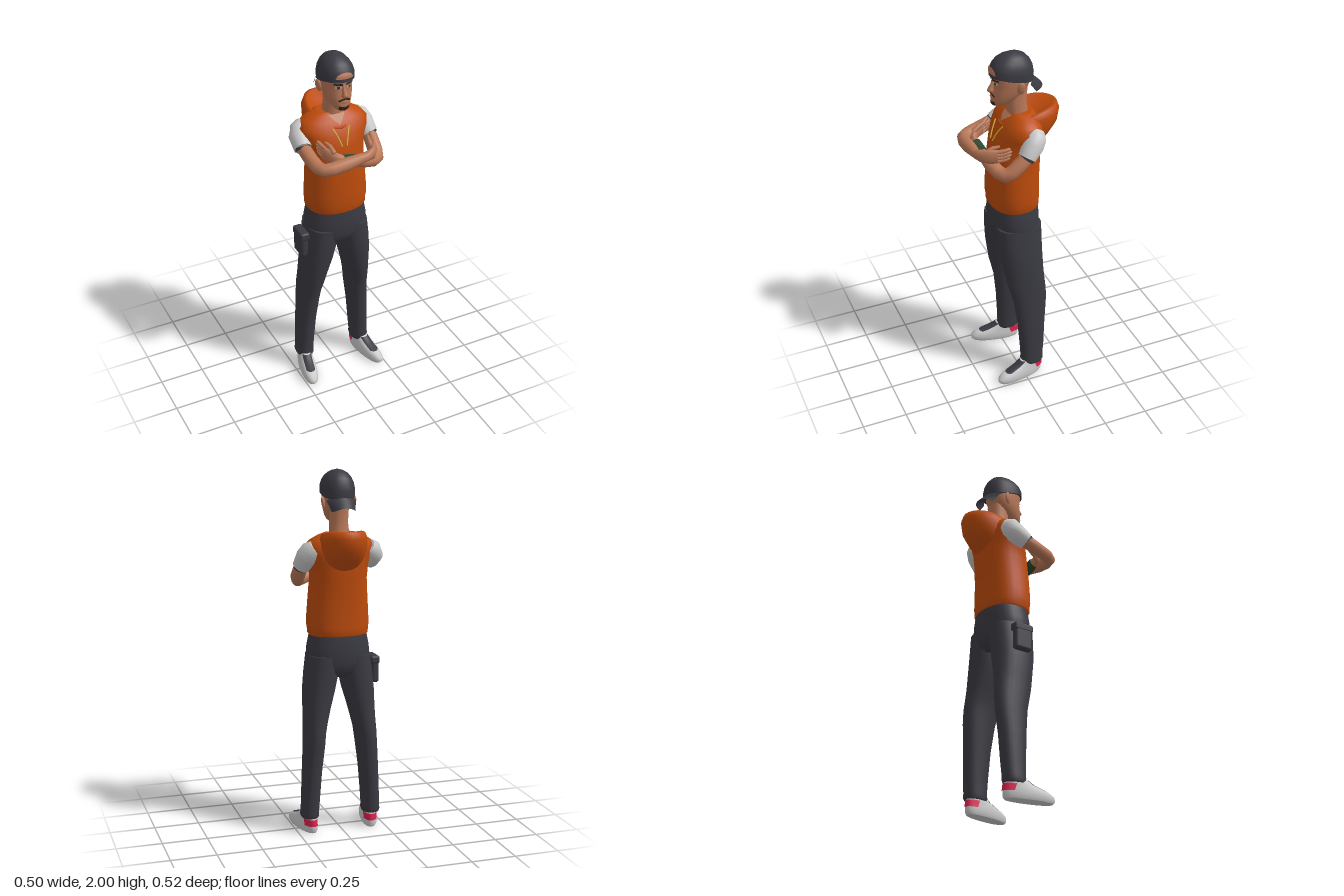
import * as THREE from 'three';
import { RoundedBoxGeometry } from 'three/addons/geometries/RoundedBoxGeometry.js';

const V = (x, y, z) => new THREE.Vector3(x, y, z);
const mat = (name, color) => Object.assign(new THREE.MeshStandardMaterial({ color }), { name });
const P = 2.3; // squareness of the horizontal cross-sections
const spow = (s) => Math.sign(s) * Math.abs(s) ** (2 / P);

// Skin a list of closed rings, with optional flat ends
function skin(rings, caps = true) {
  const n = rings[0].length, pos = [], idx = [];
  const add = (p) => pos.push(p.x, p.y, p.z) / 3 - 1;
  rings.forEach((r) => r.forEach(add));
  for (let i = 0; i < rings.length - 1; i++) for (let j = 0; j < n; j++) {
    const a = i * n + j, b = i * n + (j + 1) % n;
    idx.push(a, b, a + n, b, b + n, a + n);
  }
  if (caps) [rings[0], rings.at(-1)].forEach((r, end) => {
    const c = add(r.reduce((s, p) => s.add(p), V(0, 0, 0)).divideScalar(n));
    const first = c + 1;
    r.forEach(add);
    for (let j = 0; j < n; j++) {
      const a = first + j, b = first + (j + 1) % n;
      end ? idx.push(c, a, b) : idx.push(c, b, a);
    }
  });
  const g = new THREE.BufferGeometry();
  g.setAttribute('position', new THREE.Float32BufferAttribute(pos, 3));
  g.setIndex(idx);
  g.computeVertexNormals();
  return g;
}

// Horizontal sections [y, halfWidth, zFront, zBack, centreX], listed upwards
function stack(sections, n = 28, warp = (p) => p) {
  return skin(sections.map(([y, w, f, b, cx = 0]) => Array.from({ length: n }, (_, j) => {
    const a = j / n * Math.PI * 2;
    return warp(V(cx + w * spow(Math.sin(a)), y, (f + b) / 2 + (f - b) / 2 * spow(Math.cos(a))));
  })));
}

// z of a stacked surface at (x, y), on the front (side 1) or back (side -1)
function surfaceZ(sections, x, y, side = 1) {
  let i = 0;
  while (i < sections.length - 2 && sections[i + 1][0] < y) i++;
  const A = sections[i], B = sections[i + 1];
  const t = THREE.MathUtils.clamp((y - A[0]) / (B[0] - A[0]), 0, 1);
  const [w, f, b] = [1, 2, 3].map((k) => A[k] + (B[k] - A[k]) * t);
  const k = Math.max(0, 1 - Math.abs(x / w) ** P) ** (1 / P);
  return (f + b) / 2 + side * (f - b) / 2 * k;
}

// Thin painted patch lying on a stacked surface
function decal(sections, x0, x1, low, high, side = 1, lift = 0.004) {
  const g = new THREE.PlaneGeometry(1, 1, 12, 6), p = g.attributes.position;
  for (let i = 0; i < p.count; i++) {
    const x = x0 + (x1 - x0) * (p.getX(i) + 0.5);
    const y = low(x) + (high(x) - low(x)) * (p.getY(i) + 0.5);
    p.setXYZ(i, side * x, y, surfaceZ(sections, x, y, side) + side * lift);
  }
  g.computeVertexNormals();
  return g;
}

// Limb through points [x, y, z, sidewaysRadius, verticalRadius]
function limb(pts, n = 14) {
  const c = pts.map((p) => V(p[0], p[1], p[2]));
  return skin(c.map((p, i) => {
    const t = c[Math.min(i + 1, c.length - 1)].clone().sub(c[Math.max(i - 1, 0)]).normalize();
    const s = t.clone().cross(V(0, 1, 0)).normalize(), u = t.clone().cross(s);
    const r1 = pts[i][3], r2 = pts[i][4] ?? r1;
    return Array.from({ length: n }, (_, j) => {
      const a = j / n * Math.PI * 2;
      return p.clone().addScaledVector(s, r1 * Math.cos(a)).addScaledVector(u, r2 * Math.sin(a));
    });
  }));
}

export function createModel() {
  const model = new THREE.Group();
  const orange = mat('orange cloth', 0xbd4b0c), dark = mat('charcoal cloth', 0x3a3a42);
  const grey = mat('light grey', 0xcacaca), flesh = mat('skin', 0xb97858);
  const hair = mat('dark hair', 0x33261f), yellow = mat('yellow cord', 0xd9b32a);
  const pink = mat('pink heel', 0xe0214f), green = mat('green band', 0x2d452b);
  dark.side = orange.side = THREE.DoubleSide;
  const put = (name, geo, material, parent = model) => {
    const m = new THREE.Mesh(geo, material);
    m.name = name;
    parent.add(m);
    return m;
  };

  // Sleeveless hooded top
  const torso = [[1.108, 0.158, 0.125, -0.128], [1.118, 0.167, 0.134, -0.137], [1.15, 0.168, 0.134, -0.137],
    [1.165, 0.172, 0.137, -0.138], [1.22, 0.17, 0.136, -0.136], [1.32, 0.163, 0.132, -0.139],
    [1.42, 0.156, 0.125, -0.145], [1.5, 0.162, 0.112, -0.15], [1.56, 0.188, 0.09, -0.148],
    [1.6, 0.195, 0.068, -0.14], [1.63, 0.168, 0.047, -0.13], [1.655, 0.125, 0.022, -0.115], [1.668, 0.085, 0.01, -0.1]];
  put('torso', stack(torso, 32), orange);
  put('neckOpening', decal(torso, -0.045, 0.045, (x) => 1.612 + Math.abs(x), () => 1.66), flesh);

  // Hood lying on the back: low at the front, raised behind
  const hood = [[0.1, 0.05, -0.145, 1.57, 1.47], [0.118, 0.068, -0.205, 1.585, 1.525], [0.128, 0.072, -0.25, 1.595, 1.585],
    [0.128, 0.072, -0.262, 1.602, 1.65], [0.115, 0.066, -0.25, 1.61, 1.685], [0.1, 0.06, -0.228, 1.607, 1.69],
    [0.088, 0.052, -0.18, 1.6, 1.655], [0.06, 0.035, -0.1, 1.59, 1.63]];
  put('hood', skin(hood.map(([w, f, b, yf, yb]) => Array.from({ length: 28 }, (_, j) => {
    const a = j / 28 * Math.PI * 2, c = Math.cos(a);
    return V(w * Math.sin(a), yb + (yf - yb) * ((1 + c) / 2) ** 2, (f + b) / 2 + (f - b) / 2 * c);
  })), false), orange);
  for (const s of [-1, 1]) {
    put('drawstring', limb([[0.047, 1.605], [0.035, 1.58], [0.024, 1.55], [0.014, 1.515]].map(([x, y]) =>
      [s * x, y, surfaceZ(torso, x, y) + 0.009, 0.004]), 6), yellow);
  }

  // Trousers
  put('hips', stack([[0.88, 0.1, 0.06, -0.09], [0.91, 0.155, 0.108, -0.12], [0.96, 0.178, 0.124, -0.134],
    [1.04, 0.173, 0.129, -0.137], [1.12, 0.157, 0.122, -0.13]]), dark);
  for (const s of [-1, 1]) {
    const leg = [[0.085, 0.047, 0.012, -0.11, 0.178], [0.1, 0.051, 0.018, -0.117, 0.178], [0.12, 0.049, 0.014, -0.115, 0.177],
      [0.2, 0.05, 0.018, -0.122, 0.173], [0.35, 0.052, 0.028, -0.13, 0.164], [0.5, 0.056, 0.047, -0.143, 0.151],
      [0.57, 0.058, 0.064, -0.143, 0.146], [0.63, 0.063, 0.08, -0.138, 0.138], [0.7, 0.071, 0.092, -0.133, 0.128],
      [0.8, 0.085, 0.108, -0.13, 0.113], [0.9, 0.091, 0.118, -0.13, 0.097], [1.0, 0.087, 0.12, -0.13, 0.088]];
    put('trouserLeg', stack(leg.map(([y, w, f, b, cx]) => [y, w, f, b, s * cx]), 24), dark);

    // Shoes, toes turned out
    const shoe = new THREE.Group();
    shoe.name = 'shoe';
    shoe.position.set(s * 0.178, 0, -0.05);
    shoe.rotation.y = s * 0.19;
    model.add(shoe);
    const body = [[0, 0.04, 0.215, -0.055], [0.012, 0.045, 0.226, -0.062], [0.035, 0.046, 0.224, -0.063],
      [0.055, 0.043, 0.195, -0.062], [0.072, 0.04, 0.14, -0.06], [0.088, 0.038, 0.1, -0.056], [0.11, 0.035, 0.07, -0.05]];
    put('shoeBody', stack(body), grey, shoe);
    put('laces', decal(body, -0.026, 0.026, () => 0.062, () => 0.108), dark, shoe);
    put('heelPatch', decal(body, -0.038, 0.038, () => 0.04, () => 0.078, -1), pink, shoe);
  }
  const pocket = put('sidePocket', new RoundedBoxGeometry(0.045, 0.15, 0.11, 3, 0.018), dark);
  pocket.position.set(-0.203, 0.9, -0.01);
  const flap = put('pocketFlap', new RoundedBoxGeometry(0.052, 0.045, 0.118, 3, 0.012), dark);
  flap.position.set(-0.201, 0.955, -0.01);

  // Short sleeves, dark inside the cuff
  for (const [s, end] of [[1, [0.203, 1.487, 0]], [-1, [-0.196, 1.503, 0.025]]]) {
    const [x, y, z] = end;
    put('sleeve', limb([[s * 0.145, 1.59, -0.075, 0.045], [s * 0.168, 1.572, -0.062, 0.058],
      [s * 0.186, 1.54, -0.04, 0.058], [x, y, z, 0.048]], 18), grey);
    put('cuffLining', limb([[x, y + 0.008, z - 0.006, 0.043], [x, y - 0.003, z + 0.003, 0.043]], 18), dark);
  }

  // Folded arms
  put('leftArm', limb([[0.19, 1.53, -0.04, 0.036], [0.203, 1.47, 0.02, 0.039], [0.202, 1.42, 0.075, 0.04],
    [0.19, 1.398, 0.112, 0.039], [0.155, 1.404, 0.138, 0.038], [0.1, 1.425, 0.158, 0.038], [0.03, 1.453, 0.176, 0.03],
    [-0.035, 1.475, 0.187, 0.026], [-0.075, 1.49, 0.187, 0.02, 0.034], [-0.108, 1.503, 0.16, 0.016, 0.038],
    [-0.125, 1.513, 0.125, 0.013, 0.036]]), flesh);
  put('wristBand', limb([[0.02, 1.457, 0.178, 0.033], [-0.05, 1.481, 0.188, 0.031]]), green);
  put('rightArm', limb([[-0.18, 1.54, -0.04, 0.036], [-0.195, 1.505, 0.03, 0.037], [-0.192, 1.48, 0.11, 0.037],
    [-0.184, 1.465, 0.175, 0.036], [-0.162, 1.46, 0.21, 0.035], [-0.115, 1.465, 0.222, 0.036], [-0.04, 1.476, 0.226, 0.036],
    [0.03, 1.489, 0.23, 0.029], [0.075, 1.498, 0.233, 0.025], [0.108, 1.5, 0.222, 0.018, 0.036],
    [0.138, 1.498, 0.178, 0.016, 0.041], [0.15, 1.498, 0.14, 0.013, 0.039]]), flesh);
  for (const [k, m, t] of [[V(-0.123, 1.512, 0.132), V(-0.134, 1.524, 0.1), V(-0.14, 1.533, 0.068)],
    [V(0.148, 1.498, 0.146), V(0.162, 1.504, 0.105), V(0.167, 1.512, 0.066)]]) {
    for (let f = 0; f < 4; f++) {
      const d = (f - 1.5) * 0.018, short = Math.abs(f - 1.7) * 0.008;
      put('finger', limb([[k.x, k.y + d, k.z, 0.011], [m.x, m.y + d, m.z, 0.011],
        [t.x, t.y + d, t.z + short + 0.006, 0.009], [t.x, t.y + d, t.z + short, 0.004]], 8), flesh);
    }
    const s = Math.sign(k.x);
    put('thumb', limb([[k.x - s * 0.03, k.y + 0.015, k.z + 0.05, 0.014], [k.x - s * 0.025, k.y + 0.04, k.z + 0.01, 0.012],
      [k.x - s * 0.015, k.y + 0.047, k.z - 0.025, 0.007]], 8), flesh);
  }

  // Neck and head
  put('neck', stack([[1.58, 0.062, 0.02, -0.1], [1.65, 0.054, 0.02, -0.088], [1.72, 0.049, 0.03, -0.078],
    [1.8, 0.052, 0.035, -0.085]], 20), flesh);
  const head = [[1.716, 0.022, 0.098, 0.035], [1.727, 0.038, 0.11, 0.012], [1.75, 0.054, 0.113, -0.02],
    [1.78, 0.066, 0.112, -0.06], [1.81, 0.074, 0.108, -0.085], [1.845, 0.079, 0.102, -0.097], [1.87, 0.081, 0.108, -0.1],
    [1.91, 0.082, 0.108, -0.1], [1.95, 0.072, 0.09, -0.085]];
  put('head', stack(head), flesh);
  put('nose', stack([[1.797, 0.01, 0.114, 0.09], [1.803, 0.018, 0.134, 0.09], [1.815, 0.014, 0.133, 0.09],
    [1.84, 0.009, 0.117, 0.09], [1.868, 0.009, 0.109, 0.09]], 12), flesh);
  put('lips', stack([[1.764, 0.012, 0.114, 0.09], [1.77, 0.022, 0.119, 0.09], [1.78, 0.012, 0.116, 0.09]], 12), flesh);
  put('moustache', decal(head, -0.032, 0.032, (x) => 1.783 - 9 * x * x, (x) => 1.793 - 8 * x * x), hair);
  put('goatee', decal(head, -0.03, 0.03, (x) => 1.72 + 12 * x * x, (x) => 1.745 + 8 * x * x), hair);
  for (const s of [-1, 1]) {
    const ear = put('ear', new THREE.SphereGeometry(1, 14, 10), flesh);
    ear.scale.set(0.01, 0.034, 0.021);
    ear.position.set(s * 0.085, 1.828, -0.018);
    ear.rotation.set(-0.15, s * -0.35, s * -0.15);
    const span = (a, b) => s > 0 ? [a, b] : [-b, -a];
    put('eyebrow', decal(head, ...span(0.01, 0.054), (x) => 1.864 + 0.1 * Math.abs(x), () => 1.877), hair);
    put('eye', decal(head, ...span(0.016, 0.046), () => 1.848, () => 1.859), grey);
    put('pupil', decal(head, ...span(0.025, 0.038), () => 1.847, () => 1.86, 1, 0.006), dark);
  }

  // Cap worn backwards, with its opening above the strap
  const cap = [[1.885, 0.089, 0.12, -0.112], [1.92, 0.09, 0.116, -0.114], [1.945, 0.083, 0.104, -0.108],
    [1.967, 0.07, 0.086, -0.094], [1.984, 0.052, 0.062, -0.072], [1.995, 0.03, 0.035, -0.045], [2.0, 0.008, 0.008, -0.015]];
  put('cap', stack(cap, 32, (p) => {
    p.y += 0.24 * Math.min(0, p.z - 0.08) * (2 - p.y) / 0.115;
    return p;
  }), dark);
  put('capOpening', decal(cap, -0.05, 0.05, () => 1.905, (x) => 1.906 + 0.03 * Math.sqrt(Math.max(0, 1 - (x / 0.05) ** 2))), flesh);
  const brim = new THREE.PlaneGeometry(1, 1, 14, 5), bp = brim.attributes.position;
  for (let i = 0; i < bp.count; i++) {
    const u = bp.getX(i) * 2, v = bp.getY(i) + 0.5;
    const reach = 0.092 * (1 - 0.55 * u ** 4);
    bp.setXYZ(i, u * (0.083 - 0.018 * v), 1.862 - 0.058 * v - 0.022 * u * u, -0.07 - 0.035 * (1 - u * u) * (1 - v) - v * reach);
  }
  brim.computeVertexNormals();
  put('capBrim', brim, dark);
  return model;
}
